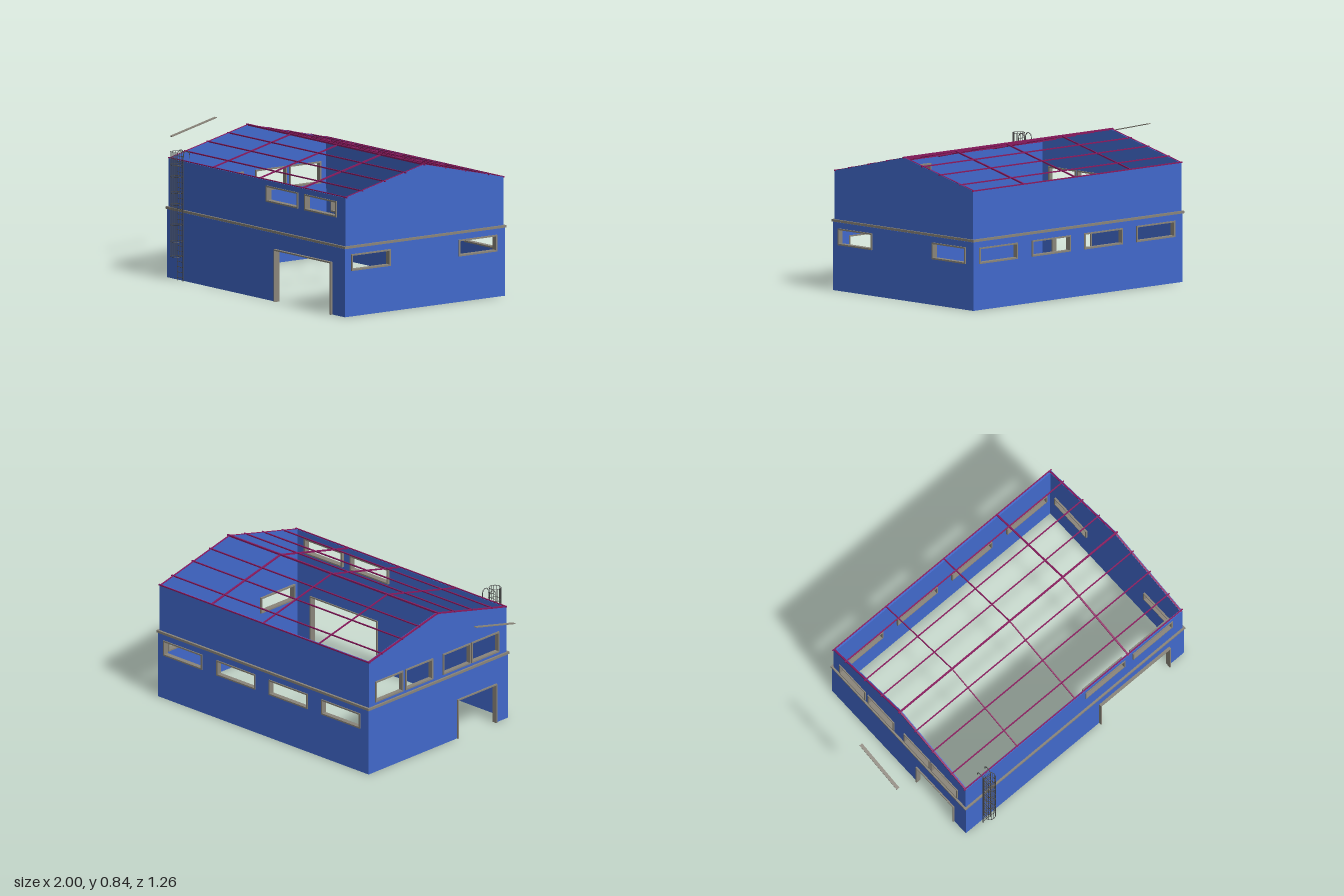
import * as THREE from 'three';

const mat = (color) => new THREE.MeshStandardMaterial({ color, side: THREE.DoubleSide, flatShading: true });
const blue = mat(0x4169cc), trim = mat(0x8a857a), steel = mat(0x8b1a5f), iron = mat(0x4a4a4a);

const EAVE = 0.7, RIDGE = 0.835, RIDGE_Z = -0.035, FRONT = 0.543, BACK = -0.613;
const roofY = (z) => z > RIDGE_Z
  ? RIDGE - (RIDGE - EAVE) * (z - RIDGE_Z) / (FRONT - RIDGE_Z)
  : RIDGE - (RIDGE - EAVE) * (RIDGE_Z - z) / (RIDGE_Z - BACK);

const toShape = (pts) => new THREE.Shape(pts.map(([x, y]) => new THREE.Vector2(x, y)));
const rect = ([a, b, c, d]) => [[a, c], [b, c], [b, d], [a, d]];

export function createModel() {
  const model = new THREE.Group();
  const add = (name, geo, material, parent = model) => {
    const m = new THREE.Mesh(geo, material);
    m.name = name;
    parent.add(m);
    return m;
  };

  // Extrudes a shape through the given range of z, or of x for a side wall (drawn in -z, y)
  const slab = (shape, side, from, to) => {
    const g = new THREE.ExtrudeGeometry(shape, { depth: to - from, bevelEnabled: false, curveSegments: 6 });
    g.translate(0, 0, from);
    if (side) g.rotateY(Math.PI / 2);
    return g;
  };
  const flip = (side, [a, b, c, d]) => side ? [-b, -a, c, d] : [a, b, c, d];

  // Wall with a doorway notch and window holes; openings are [start, end, bottom, top]
  const wall = (name, side, from, to, outline, windows = [], door = null) => {
    let pts = outline;
    if (door) {
      const [a, b, , top] = flip(side, door);
      pts = [outline[0], [a, 0], [a, top], [b, top], [b, 0], ...outline.slice(1)];
    }
    const shape = toShape(pts);
    for (const w of windows) shape.holes.push(new THREE.Path(rect(flip(side, w)).map((p) => new THREE.Vector2(...p))));
    add(name, slab(shape, side, from, to), blue);
  };
  const windowFrames = (side, from, to, windows) => {
    for (const w of windows) {
      const [a, b, c, d] = flip(side, w), t = 0.009;
      const shape = toShape(rect([a, b, c, d]));
      shape.holes.push(new THREE.Path(rect([a + t, b - t, c + t, d - t]).map((p) => new THREE.Vector2(...p))));
      add('windowFrame', slab(shape, side, from, to), trim);
    }
  };
  const doorFrame = (side, from, to, door) => {
    const [a, b, , d] = flip(side, door), t = 0.008;
    const pts = [[a, 0], [a + t, 0], [a + t, d - t], [b - t, d - t], [b - t, 0], [b, 0], [b, d], [a, d]];
    add('doorFrame', slab(toShape(pts), side, from, to), trim);
  };

  const frontWindows = [[0.235, 0.54, 0.575, 0.67], [0.6, 0.905, 0.575, 0.67]];
  const backWindows = [-0.63, -0.21, 0.21, 0.635].map((x) => [x, x + 0.31, 0.27, 0.365]);
  const rightWindows = [[0.22, 0.505, 0.268, 0.366], [-0.56, -0.28, 0.268, 0.366]];
  const leftWindows = [-0.56, -0.31, 0.005, 0.245].map((z) => [z, z + 0.23, 0.435, 0.565]);
  const frontDoor = [0.335, 0.875, 0, 0.31], leftDoor = [0.12, 0.45, 0, 0.245];

  // Lower walls, slightly proud of the upper ones
  const T = 0.014, H = 0.4;
  const longLow = rect([-0.695 + T, 0.99 - T, 0, H]), sideLow = rect([-0.55, 0.62, 0, H]);
  wall('lowerFrontWall', false, 0.55 - T, 0.55, longLow, [], frontDoor);
  wall('lowerBackWall', false, -0.62, -0.62 + T, longLow, backWindows);
  wall('lowerRightWall', true, 0.99 - T, 0.99, sideLow, rightWindows);
  wall('lowerLeftWall', true, -0.695, -0.695 + T, sideLow, [], leftDoor);

  // Upper walls with gables
  const longUp = rect([-0.69 + T, 0.985 - T, H, EAVE]);
  const gable = [[-FRONT, H], [-BACK, H], [-BACK, EAVE], [-RIDGE_Z, RIDGE], [-FRONT, EAVE]];
  wall('upperFrontWall', false, FRONT - T, FRONT, longUp, frontWindows);
  wall('upperBackWall', false, BACK, BACK + T, longUp);
  wall('rightGable', true, 0.985 - T, 0.985, gable);
  wall('leftGable', true, -0.69, -0.69 + T, gable, leftWindows);

  // Window and door frames
  windowFrames(false, 0.512, 0.548, frontWindows);
  windowFrames(false, -0.626, -0.595, backWindows);
  windowFrames(true, 0.965, 0.998, rightWindows);
  windowFrames(true, -0.697, -0.669, leftWindows);
  doorFrame(false, 0.53, 0.567, frontDoor);
  doorFrame(true, -0.704, -0.672, leftDoor);

  // Trim band around the building
  const band = toShape(rect([-0.702, 0.997, -0.555, 0.627]));
  band.holes.push(new THREE.Path(rect([-0.685, 0.98, -0.538, 0.61]).map((p) => new THREE.Vector2(...p))));
  const bandGeo = slab(band, false, 0.402, 0.416);
  bandGeo.rotateX(-Math.PI / 2);
  add('trimBand', bandGeo, trim);

  // Box bar between two points in a plane of constant x
  const slopedBar = (name, x, z0, z1, w, h, drop, material) => {
    const y0 = roofY(z0) - drop, y1 = roofY(z1) - drop;
    const m = add(name, new THREE.BoxGeometry(w, h, Math.hypot(z1 - z0, y1 - y0)), material);
    m.position.set(x, (y0 + y1) / 2, (z0 + z1) / 2);
    m.rotation.x = -Math.atan2(y1 - y0, z1 - z0);
  };

  // Open roof: rafters and purlins
  [[-0.686, 0.01], [-0.285, 0.006], [0.16, 0.007], [0.57, 0.01], [0.977, 0.01]].forEach(([x, w]) => {
    slopedBar('rafter', x, RIDGE_Z, FRONT, w, 0.008, 0.002, steel);
    slopedBar('rafter', x, BACK, RIDGE_Z, w, 0.008, 0.002, steel);
  });
  [BACK, -0.505, -0.335, -0.19, RIDGE_Z, 0.105, 0.255, 0.42, 0.535].forEach((z) => {
    const s = z === RIDGE_Z ? 0.01 : 0.007;
    add('purlin', new THREE.BoxGeometry(1.69, s, s), steel).position.set(0.147, roofY(z), z);
  });

  // Detached sloping bar beside the building
  slopedBar('looseBar', -0.99, RIDGE_Z, 0.292, 0.02, 0.005, 0, trim);

  // Caged ladder
  const ladder = new THREE.Group();
  ladder.name = 'cagedLadder';
  model.add(ladder);
  const LX = -0.548, R = 0.035, CZ = 0.594, r = 0.0018;
  for (const s of [-1, 1]) {
    const x = LX + s * 0.028;
    const rail = new THREE.CurvePath();
    const v = (y, z) => new THREE.Vector3(x, y, z);
    const arc = [];
    for (let i = 0; i <= 8; i++) {
      const a = Math.PI * i / 8;
      arc.push(v(0.74 + 0.024 * Math.sin(a), 0.543 + 0.024 * Math.cos(a)));
    }
    rail.add(new THREE.LineCurve3(v(0, 0.567), arc[0]));
    rail.add(new THREE.CatmullRomCurve3(arc));
    rail.add(new THREE.LineCurve3(arc[8], v(0.718, 0.519)));
    add('ladderRail', new THREE.TubeGeometry(rail, 90, 0.0025, 6), iron, ladder);
  }
  for (let i = 0; i < 24; i++) {
    const rung = add('rung', new THREE.CylinderGeometry(r, r, 0.056, 6), iron, ladder);
    rung.rotation.z = Math.PI / 2;
    rung.position.set(LX, 0.02 + i * 0.031, 0.567);
  }
  for (const y of [0.762, 0.688, 0.617, 0.523, 0.452, 0.334, 0.236, 0.148]) {
    const hoop = add('cageHoop', new THREE.TorusGeometry(R, r, 5, 24), iron, ladder);
    hoop.rotation.x = Math.PI / 2;
    hoop.position.set(LX, y, CZ);
  }
  for (const deg of [-25, 10, 35, 62, 90, 118, 145, 170, 205]) {
    const a = THREE.MathUtils.degToRad(deg);
    add('cageBar', new THREE.CylinderGeometry(r, r, 0.614, 5), iron, ladder)
      .position.set(LX + R * Math.cos(a), 0.455, CZ + R * Math.sin(a));
  }
  return model;
}
